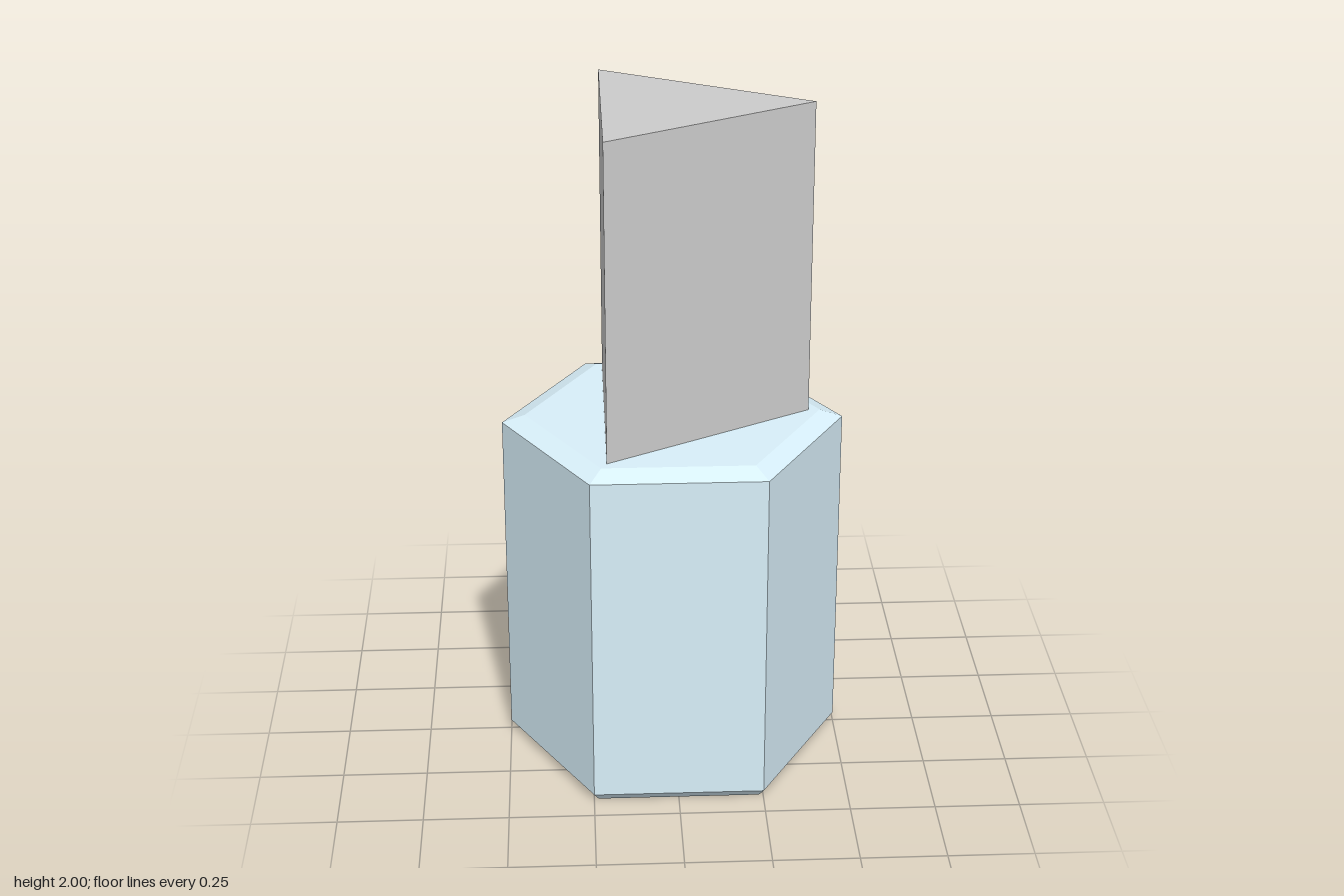
import * as THREE from 'three';

export function createModel() {
  const group = new THREE.Group();
  const blue = new THREE.MeshStandardMaterial({ color: 0xd8eff9, flatShading: true });
  const grey = new THREE.MeshStandardMaterial({ color: 0xcccccc, flatShading: true });

  // Hexagonal body, chamfered at both ends, with one corner on +x
  const profile = [[0, 0], [0.475, 0], [0.5, 0.027], [0.5, 1.04], [0.433, 1.063], [0, 1.063]]
    .map(([r, y]) => new THREE.Vector2(r, y));
  const body = new THREE.Mesh(new THREE.LatheGeometry(profile, 6, Math.PI / 2), blue);
  body.name = 'hexagonalBody';
  group.add(body);

  // Triangular shaft standing on the body, one edge towards +x
  const bottom = 1.06, top = 2;
  const shaft = new THREE.Mesh(
    new THREE.CylinderGeometry(0.4, 0.4, top - bottom, 3, 1, false, Math.PI / 2), grey);
  shaft.name = 'triangularShaft';
  shaft.position.y = (bottom + top) / 2;
  group.add(shaft);

  return group;
}
